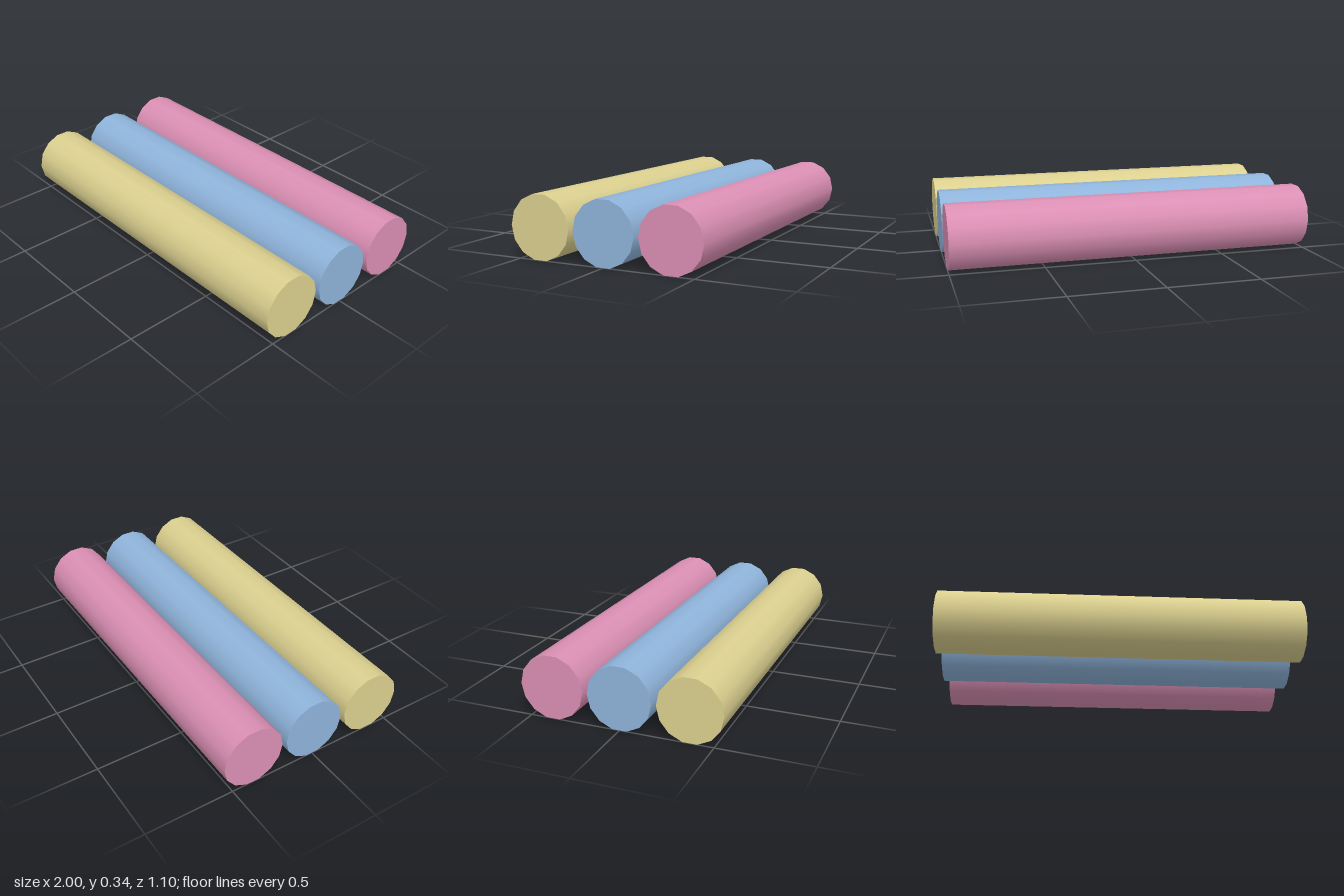
import * as THREE from 'three';

export function createModel() {
  const group = new THREE.Group();
  const sides = 14, radius = 0.175, length = 2, spacing = 0.375;

  // One smooth rod lying along x, shared by all three
  const rod = new THREE.CylinderGeometry(radius, radius, length, sides);
  rod.rotateZ(Math.PI / 2);
  // Rods rest on a flat facet
  rod.translate(0, radius * Math.cos(Math.PI / sides), 0);

  // Back to front
  const rods = [['pink', 0xdb8fb4], ['blue', 0x8fb4db], ['yellow', 0xdbd08f]];
  rods.forEach(([name, color], i) => {
    const material = new THREE.MeshStandardMaterial({ color });
    material.name = name;
    const mesh = new THREE.Mesh(rod, material);
    mesh.name = name + 'Rod';
    mesh.position.z = (i - 1) * spacing;
    group.add(mesh);
  });
  return group;
}
